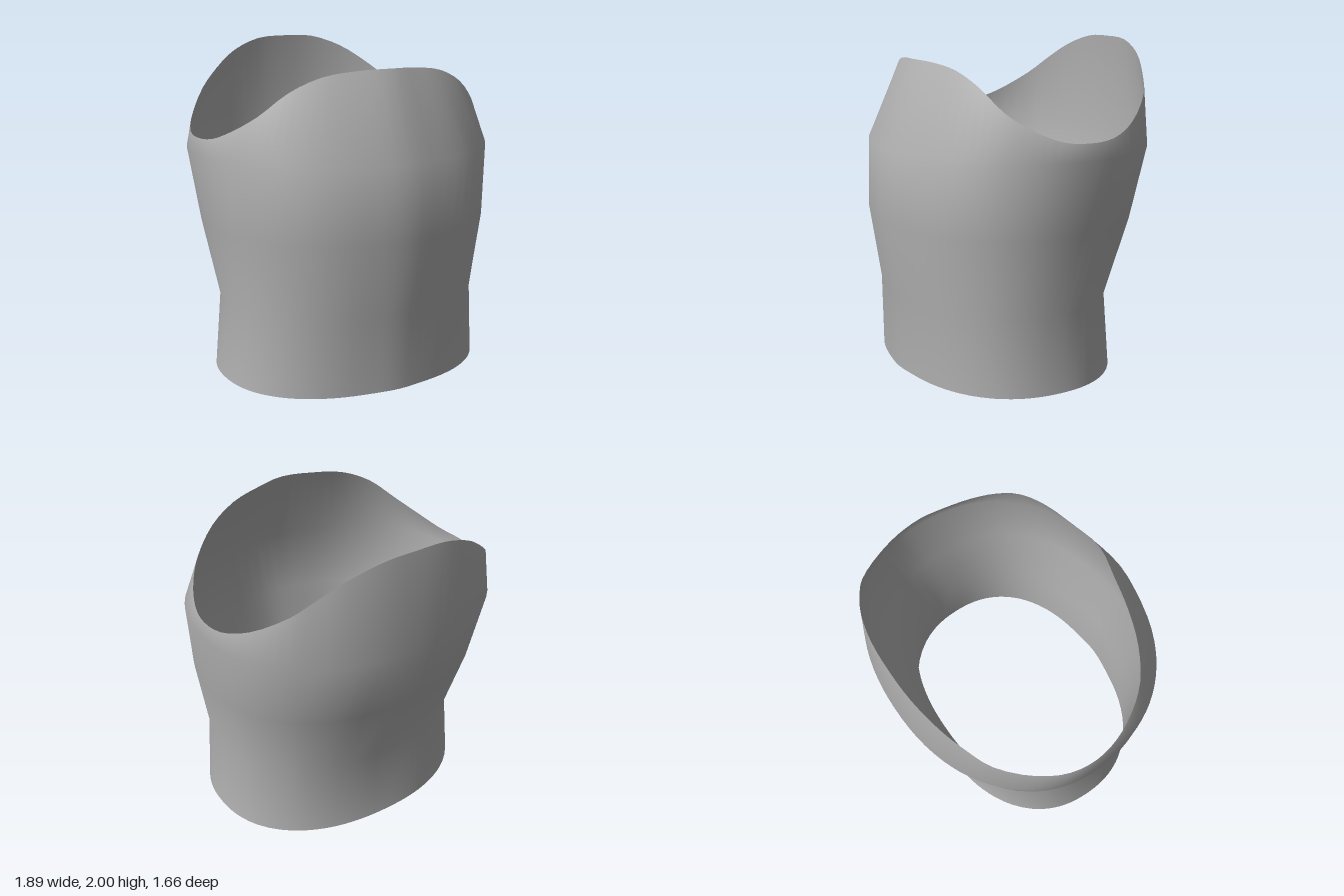
import * as THREE from 'three';

// Right-hand half of the wavy top edge, from front centre to back centre
const RIM = [
  [0, 1.91, 0.6], [0.2, 1.902, 0.56], [0.4, 1.872, 0.515], [0.58, 1.79, 0.46],
  [0.73, 1.66, 0.38], [0.83, 1.57, 0.26], [0.9, 1.505, 0.11], [0.93, 1.49, -0.05],
  [0.91, 1.503, -0.22], [0.83, 1.57, -0.4], [0.68, 1.71, -0.59], [0.55, 1.82, -0.67],
  [0.4, 1.92, -0.735], [0.2, 1.99, -0.78], [0, 2.0, -0.79],
];

// Horizontal rings: height, half width, front z, back z, z of the widest point, roundness
const RINGS = [
  { y: 0, w: 0.85, front: 0.74, back: -0.59, mid: 0.07, p: 2.25 },
  { y: 0.47, w: 0.81, front: 0.75, back: -0.55, mid: 0.07, p: 2.3 },
  { y: 0.95, w: 0.895, front: 0.83, back: -0.73, mid: 0.02, p: 2.2 },
  { y: 1.39, w: 0.945, front: 0.815, back: -0.83, mid: -0.05, p: 2.2 },
];

// Point of a rounded ring in direction a, with a faint ridge at the front centre
function ringPoint(r, a) {
  const s = Math.sin(a), c = Math.cos(a);
  const depth = c > 0 ? (r.front - r.mid) / 1.02 : r.mid - r.back;
  const sum = (Math.abs(s) / r.w) ** r.p + (Math.abs(c) / depth) ** r.p;
  const radius = sum ** (-1 / r.p) * (1 + 0.02 * Math.exp(-((a / 0.2) ** 2)));
  return [radius * s, r.y, r.mid + radius * c];
}

function sleeveGeometry() {
  // Mirror the half edge into a closed loop
  const mirrored = RIM.slice(1, -1).reverse().map(([x, y, z]) => [-x, y, z]);
  const loop = [...RIM, ...mirrored].map((p) => new THREE.Vector3(...p));
  const rim = new THREE.CatmullRomCurve3(loop, true, 'centripetal');

  const columns = 84, rows = RINGS.length + 1;
  const positions = [], index = [];
  for (let i = 0; i < columns; i++) {
    const top = rim.getPoint(i / columns);
    const a = Math.atan2(top.x, top.z + 0.05);
    for (const r of RINGS) positions.push(...ringPoint(r, a));
    positions.push(top.x, top.y, top.z);
    for (let j = 0; j < rows - 1; j++) {
      const p = i * rows + j, q = ((i + 1) % columns) * rows + j;
      index.push(p, q, q + 1, p, q + 1, p + 1);
    }
  }
  const geometry = new THREE.BufferGeometry();
  geometry.setAttribute('position', new THREE.Float32BufferAttribute(positions, 3));
  geometry.setIndex(index);
  geometry.computeVertexNormals();
  return geometry;
}

export function createModel() {
  const group = new THREE.Group();
  group.name = 'bodice';
  const grey = new THREE.MeshStandardMaterial({ color: 0xb0b0b0, side: THREE.DoubleSide });
  grey.name = 'grey';

  // Thin open shell, open at top and bottom
  const shell = new THREE.Mesh(sleeveGeometry(), grey);
  shell.name = 'shell';
  group.add(shell);
  return group;
}
